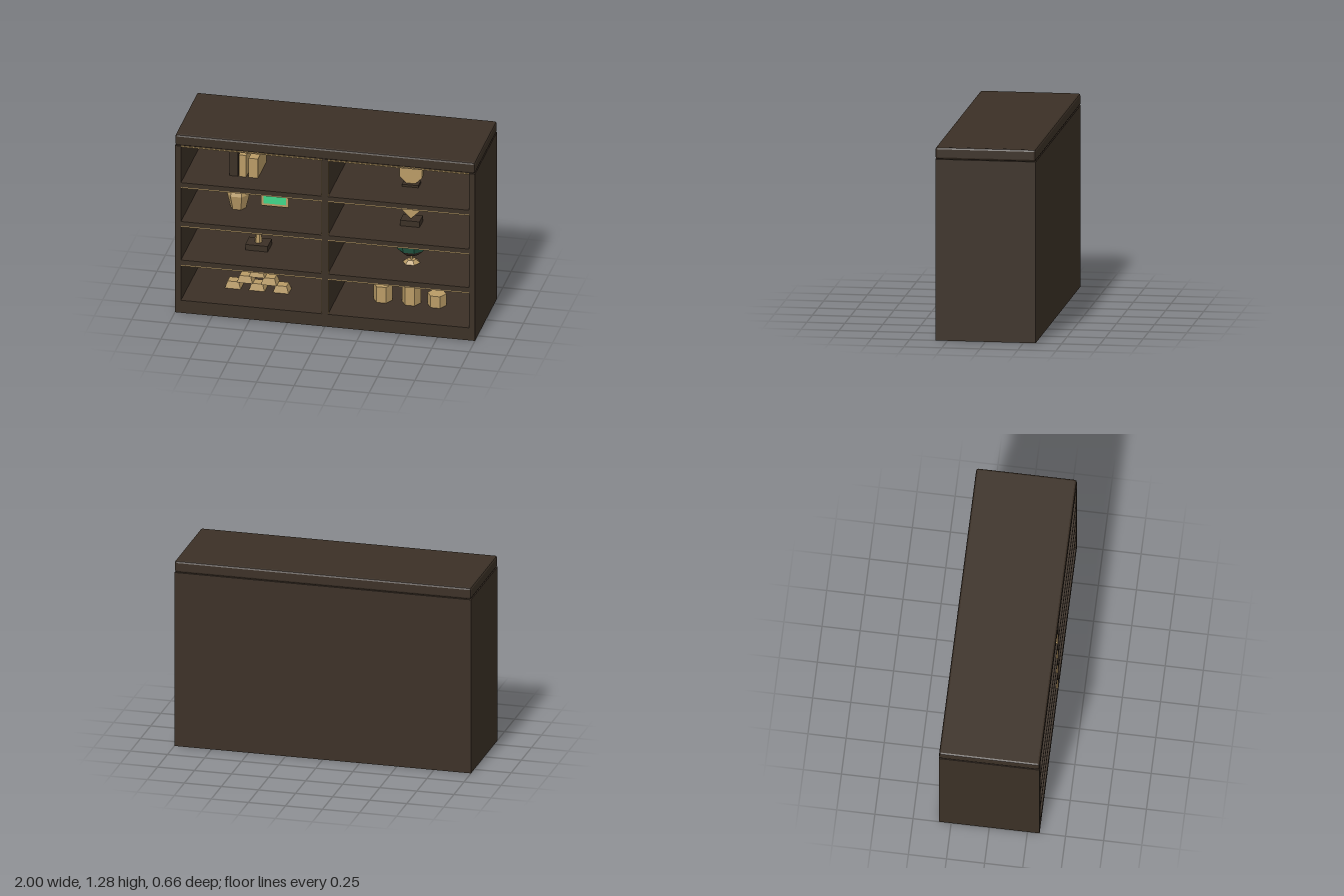
import * as THREE from 'three';
import { RoundedBoxGeometry } from 'three/addons/geometries/RoundedBoxGeometry.js';

const flat = (name, color, extra = {}) =>
  Object.assign(new THREE.MeshStandardMaterial({ color, flatShading: true, ...extra }), { name });

export function createModel() {
  const wood = flat('darkWood', 0x3b3026);
  const gold = flat('gold', 0xb99b66);
  const felt = flat('greenBacking', 0x245a45);
  const glow = flat('brightGreen', 0x40d588);

  const root = new THREE.Group();
  root.name = 'displayCabinet';

  const group = (name, x, y, z = 0.03) => {
    const g = new THREE.Group();
    g.name = name;
    g.position.set(x, y, z);
    root.add(g);
    return g;
  };
  const add = (parent, name, geo, mat, x = 0, y = 0, z = 0) => {
    const m = new THREE.Mesh(geo, mat);
    m.name = name;
    m.position.set(x, y, z);
    parent.add(m);
    return m;
  };
  // Box given by its bottom centre
  const box = (parent, name, mat, w, h, d, x = 0, y = 0, z = 0) =>
    add(parent, name, new THREE.BoxGeometry(w, h, d), mat, x, y + h / 2, z);
  // Upright prism with a flat side to the front, given by its bottom centre
  const prism = (parent, name, mat, rTop, rBottom, h, x = 0, y = 0, sides = 6) =>
    add(parent, name, new THREE.CylinderGeometry(rTop, rBottom, h, sides).rotateY(Math.PI / sides), mat, x, y + h / 2, 0);

  // Carcass, open underneath
  const frame = group('cabinet', 0, 0, 0);
  add(frame, 'topSlab', new RoundedBoxGeometry(2, 0.08, 0.66, 1, 0.014), wood, 0, 1.24, 0);
  for (const s of [-1, 1]) box(frame, 'sidePanel', wood, 0.04, 1.2, 0.66, s * 0.98);
  box(frame, 'backPanel', wood, 1.92, 1.2, 0.02, 0, 0, -0.32);
  box(frame, 'plinth', wood, 1.92, 0.09, 0.02, 0, 0, 0.32);
  box(frame, 'floor', wood, 1.92, 0.012, 0.62, 0, 0.078, 0);
  box(frame, 'divider', wood, 0.04, 1.115, 0.64, 0, 0.09, 0.01);
  box(frame, 'greenBackPlate', felt, 1.92, 1.115, 0.008, 0, 0.09, -0.306);
  const shelves = [[0.345, 0.035], [0.625, 0.032], [0.905, 0.032]];
  for (const [y, h] of shelves) box(frame, 'shelf', wood, 1.92, h, 0.63, 0, y, 0.0149);

  // Gold trim beneath shelves and along the divider
  for (const s of [-1, 1]) {
    for (const y of [0.345, 0.625, 0.905, 1.2])
      box(frame, 'shelfTrim', gold, 0.94, 0.008, 0.008, s * 0.49, y - 0.008, 0.324);
    box(frame, 'dividerTrim', gold, 0.003, 1.1, 0.025, s * 0.0205, 0.09, 0.315);
  }

  // Books
  const books = group('books', 0, 0.937);
  box(books, 'darkBook', wood, 0.055, 0.172, 0.25, -0.647);
  box(books, 'tallBook', gold, 0.048, 0.155, 0.25, -0.589);
  box(books, 'shortBook', gold, 0.062, 0.138, 0.25, -0.517);

  // Octagonal medallion on a stand
  const medal = group('medallion', 0.51, 0.937);
  box(medal, 'medallionStand', wood, 0.11, 0.015, 0.08);
  add(medal, 'medallionDisc',
    new THREE.CylinderGeometry(0.082, 0.082, 0.04, 8).rotateY(Math.PI / 8).rotateX(Math.PI / 2), gold, 0, 0.094, 0);

  // Faceted vase
  const vase = group('vase', -0.645, 0.657);
  prism(vase, 'vaseBody', gold, 0.076, 0.052, 0.1);
  prism(vase, 'vaseShoulder', gold, 0.045, 0.076, 0.083, 0, 0.1);

  // Framed picture
  const pic = group('framedPicture', -0.407, 0.752, 0);
  box(pic, 'pictureFrame', gold, 0.185, 0.155, 0.02, 0, -0.0775);
  box(pic, 'pictureFace', glow, 0.15, 0.12, 0.004, 0, -0.06, 0.011);

  // Diamond plaque on a plinth
  const diamond = group('diamond', 0.51, 0.657);
  box(diamond, 'diamondStand', wood, 0.13, 0.04, 0.1);
  add(diamond, 'diamondPlate', new THREE.BoxGeometry(0.132, 0.132, 0.04), gold, 0, 0.136, 0).rotation.z = Math.PI / 4;

  // Trophy
  const trophy = group('trophy', -0.51, 0.38);
  box(trophy, 'trophyBase', wood, 0.15, 0.04, 0.12);
  prism(trophy, 'trophyStem', gold, 0.018, 0.025, 0.07, 0, 0.04);
  prism(trophy, 'trophyCup', gold, 0.086, 0.028, 0.115, 0, 0.1);
  for (const s of [-1, 1])
    add(trophy, 'trophyHandle', new THREE.BoxGeometry(0.07, 0.018, 0.02), gold, s * 0.1, 0.175, 0).rotation.z = -s * Math.PI / 4;

  // Globe in stacked faceted bands
  const globe = group('globe', 0.51, 0.38);
  prism(globe, 'globeFoot', gold, 0.03, 0.058, 0.022);
  prism(globe, 'globeStem', gold, 0.009, 0.009, 0.05, 0, 0.02);
  const R = 0.106, rings = 6, cy = 0.15;
  for (let i = 0; i < rings; i++) {
    const a = -Math.PI / 2 + (i * Math.PI) / rings, b = a + Math.PI / rings;
    const y0 = R * 0.93 * Math.sin(a), y1 = R * 0.93 * Math.sin(b);
    prism(globe, 'globeBand', [2, 5].includes(i) ? felt : wood,
      R * Math.cos(b), R * Math.cos(a), y1 - y0, 0, cy + y0, 8);
  }

  // Stacked ingots
  const ingots = group('ingots', -0.51, 0.09, 0.04);
  for (let row = 0; row < 3; row++)
    for (let i = 0; i < 3 - row; i++) {
      const geo = new THREE.BoxGeometry(0.105, 0.047, 0.09);
      const p = geo.attributes.position;
      for (let k = 0; k < p.count; k++)
        if (p.getY(k) > 0) p.setXYZ(k, p.getX(k) * 0.7, p.getY(k), p.getZ(k) * 0.75);
      geo.computeVertexNormals();
      add(ingots, 'ingot', geo, gold, (i - (2 - row) / 2) * 0.16, 0.0235 + row * 0.048, 0);
    }

  // Hexagonal canisters
  const canisters = group('canisters', 0, 0.09);
  for (const [x, h] of [[0.32, 0.113], [0.51, 0.178], [0.68, 0.083]])
    prism(canisters, 'canister', gold, 0.062, 0.062, h, x);

  return root;
}
